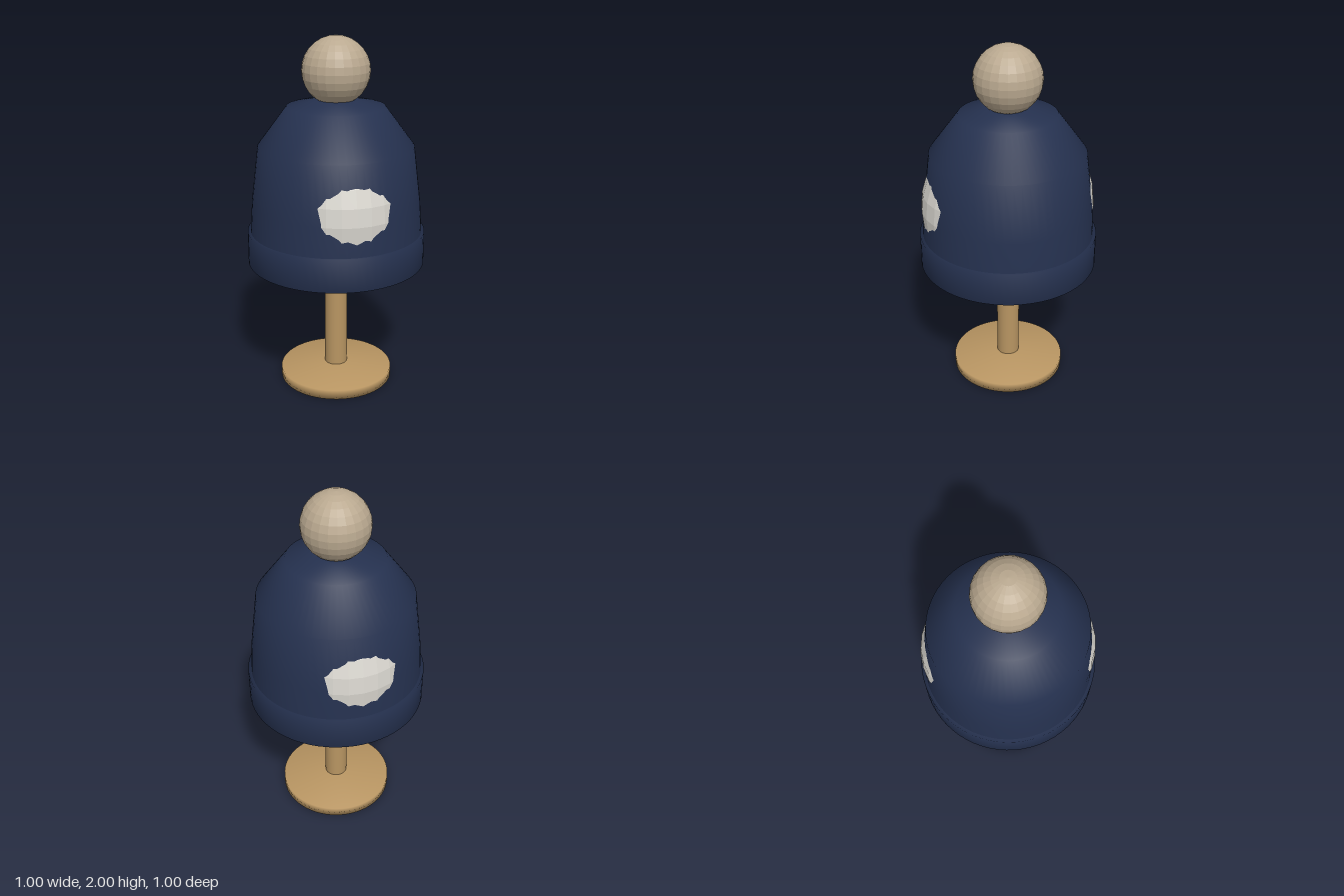
import * as THREE from 'three';

const material = (name, color, extra = {}) => {
  const m = new THREE.MeshStandardMaterial({ color, ...extra });
  m.name = name;
  return m;
};

export function createModel() {
  const group = new THREE.Group();
  const navy = material('navy wool', 0x25314f, { side: THREE.DoubleSide });
  const wood = material('wood', 0xb89562);
  const foam = material('pale foam', 0xdad7d0, { flatShading: true });
  const fluff = material('beige fluff', 0xbaa990, { flatShading: true });

  const add = (name, geometry, mat) => {
    const mesh = new THREE.Mesh(geometry, mat);
    mesh.name = name;
    group.add(mesh);
    return mesh;
  };
  // Profiles run from the bottom axis outward and up
  const lathe = (points, segments = 64) =>
    new THREE.LatheGeometry(points.map(([r, y]) => new THREE.Vector2(r, y)), segments);

  // Stand: disc with a shallow cone on top, and a post
  add('standBase', lathe([[0, 0], [0.325, 0], [0.325, 0.055], [0.065, 0.08], [0, 0.08]]), wood);
  const post = add('standPost', new THREE.CylinderGeometry(0.065, 0.065, 0.56, 32), wood);
  post.position.y = 0.34;

  // Faceted head form, deeper than wide, so it shows through the hat front and back
  const head = add('headForm', new THREE.SphereGeometry(1, 32, 16), foam);
  head.scale.set(0.41, 0.505, 0.487);
  head.position.y = 1.085;

  // Hat: tapering crown and a folded cuff
  add('hatCrown', lathe([
    [0.484, 0.9], [0.471, 1.09], [0.432, 1.405], [0.27, 1.622], [0.1, 1.658], [0, 1.66],
  ]), navy);
  add('hatCuff', lathe([
    [0.45, 0.92], [0.45, 0.735], [0.5, 0.735], [0.5, 0.92], [0.45, 0.92],
  ]), navy);

  // Pompom
  const pompom = add('pompom', new THREE.SphereGeometry(0.187, 24, 14), fluff);
  pompom.position.y = 1.813;

  return group;
}
